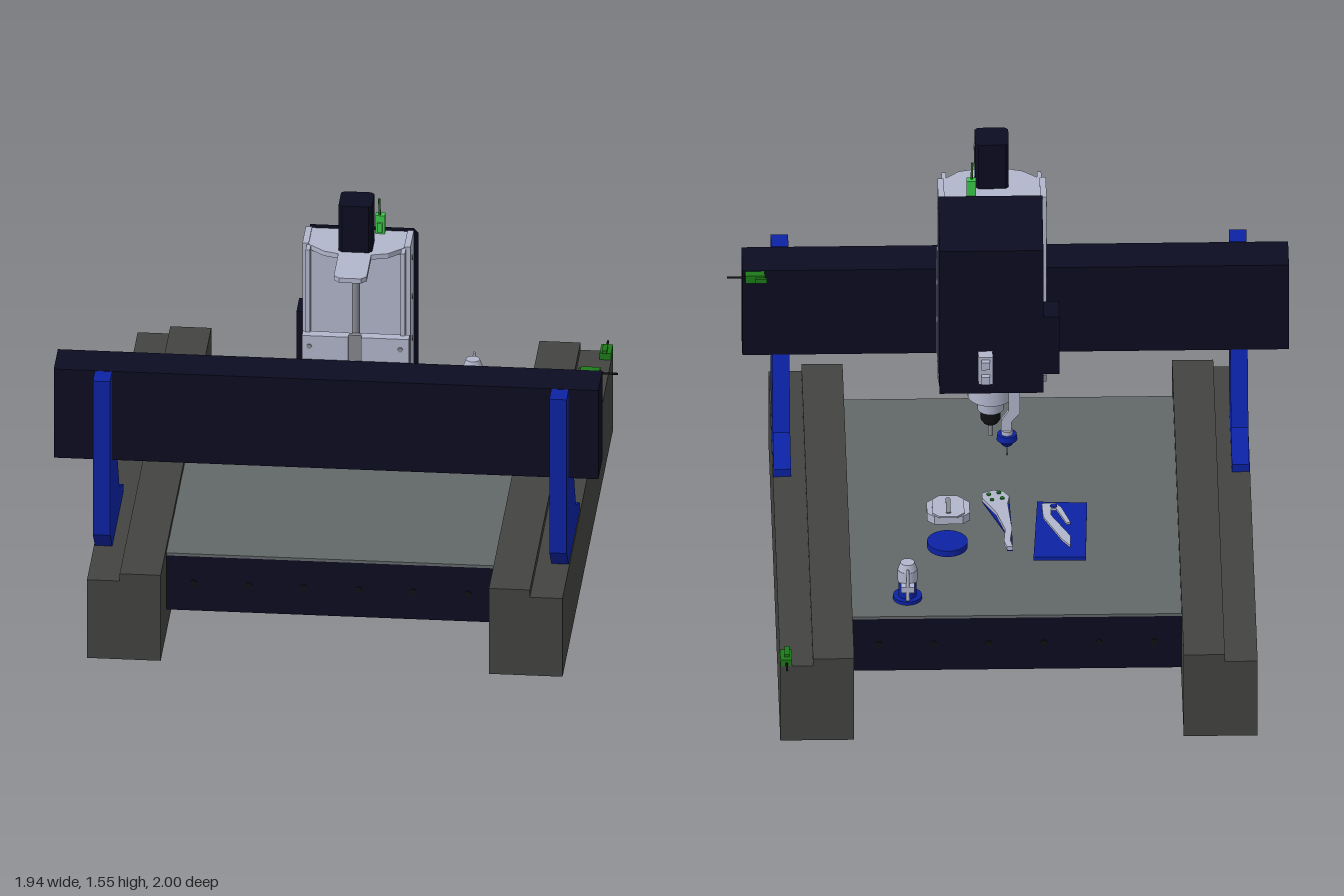
import * as THREE from 'three';

const mat = (name, color) => {
  const m = new THREE.MeshStandardMaterial({ color });
  m.name = name;
  return m;
};

export function createModel() {
  const root = new THREE.Group();
  root.name = 'gantryMill';
  const navy = mat('darkNavy', 0x0c0c22), blue = mat('blue', 0x0c22a4), rail = mat('railGrey', 0x434341);
  const bedGrey = mat('bedGrey', 0x626767), metal = mat('lightMetal', 0xb2b6cc), steel = mat('steelGrey', 0x858890);
  const green = mat('darkGreen', 0x1c7a18), bright = mat('brightGreen', 0x3cc84a), black = mat('black', 0x101014);

  const add = (name, geo, m, parent = root) => {
    const mesh = new THREE.Mesh(geo, m);
    mesh.name = name;
    parent.add(mesh);
    return mesh;
  };
  // Box from min/max limits
  const box = (name, m, x0, x1, y0, y1, z0, z1) =>
    add(name, new THREE.BoxGeometry(x1 - x0, y1 - y0, z1 - z0)
      .translate((x0 + x1) / 2, (y0 + y1) / 2, (z0 + z1) / 2), m);
  // Upright turned part
  const cyl = (name, m, x, z, y0, y1, rBottom, rTop = rBottom, sides = 28) =>
    add(name, new THREE.CylinderGeometry(rTop, rBottom, y1 - y0, sides).translate(x, (y0 + y1) / 2, z), m);
  const shapeOf = (pts) => new THREE.Shape(pts.map((p) => new THREE.Vector2(...p)));
  // Side profile of [z, y] points, extruded along x
  const side = (name, m, x0, x1, pts) =>
    add(name, new THREE.ExtrudeGeometry(shapeOf(pts), { depth: x1 - x0, bevelEnabled: false })
      .rotateY(-Math.PI / 2).translate(x1, 0, 0), m);
  // Plan outline of [x, z] points, extruded upwards
  const plan = (name, m, y0, y1, pts) =>
    add(name, new THREE.ExtrudeGeometry(shapeOf(pts.map(([x, z]) => [x, -z])), { depth: y1 - y0, bevelEnabled: false })
      .rotateX(-Math.PI / 2).translate(0, y0, 0), m);
  const tube = (name, m, pts, r) =>
    add(name, new THREE.TubeGeometry(new THREE.CatmullRomCurve3(pts.map((p) => new THREE.Vector3(...p))), 12, r, 8), m);
  const roundedOutline = (cx, cz, w, d, c) => [
    [cx - w + c, cz - d], [cx + w - c, cz - d], [cx + w, cz - d + c], [cx + w, cz + d - c],
    [cx + w - c, cz + d], [cx - w + c, cz + d], [cx - w, cz + d - c], [cx - w, cz - d + c]];

  // Stepped side rails and gantry uprights
  const mid = -0.0075;
  const upright = [[0.73, 0.3], [0.81, 0.38], [0.81, 0.97], [0.73, 0.97], [0.73, 0.63], [0.575, 0.63],
    [0.45, 0.39], [0.305, 0.33], [0.305, 0.3]];
  for (const s of [-1, 1]) {
    const span = (a, b) => [mid + s * a, mid + s * b].sort((p, q) => p - q);
    box('railInner', rail, ...span(0.568, 0.71), 0, 0.328, -0.945, 1);
    box('railOuter', rail, ...span(0.71, 0.823), 0, 0.3, -0.945, 1);
    side('gantryUpright', blue, ...span(0.76, 0.82), upright);
  }

  // Bed: dark frame with a grey table on top
  box('bedFrame', navy, -0.575, 0.56, 0.095, 0.302, -0.645, 0.79);
  box('bedTable', bedGrey, -0.575, 0.56, 0.302, 0.312, -0.645, 0.79);
  for (let i = 0; i < 6; i++) {
    const x = -0.48 + i * 0.19;
    for (const z of [-0.646, 0.791])
      add('bedBolt', new THREE.CylinderGeometry(0.012, 0.012, 0.005, 14).rotateX(Math.PI / 2).translate(x, 0.2, z), black);
  }

  // Gantry beam
  box('gantryBeam', navy, -0.97, 0.915, 0.63, 0.97, 0.572, 0.728);

  // Carriage on the back of the beam, with bearing blocks
  for (const [x0, x1] of [[-0.125, 0.035], [0.08, 0.245]]) {
    box('carriagePlate', metal, x0, x1, 0.64, 1.06, 0.535, 0.572);
  }
  box('carriageBridge', steel, 0.035, 0.08, 0.64, 1.06, 0.537, 0.555);
  for (const x of [-0.09, 0.17]) {
    for (const y of [0.67, 0.87]) {
      box('bearingBlock', black, x, x + 0.06, y + 0.02, y + 0.13, 0.503, 0.535);
      for (const e of [0, 0.13]) box('bearingCap', bright, x, x + 0.06, y + e, y + e + 0.02, 0.503, 0.535);
    }
  }
  for (const x of [-0.1, 0.215])
    for (const y of [0.68, 0.76, 0.94, 1.02])
      add('carriageBolt', new THREE.CylinderGeometry(0.009, 0.009, 0.006, 12).rotateX(Math.PI / 2).translate(x, y, 0.573), steel);

  // Vertical slide: back box, side plates, front flanges
  box('slideBody', metal, -0.108, 0.222, 0.65, 1.37, 0.37, 0.5);
  const cheek = [[0.37, 0.66], [0.41, 0.61], [0.5, 0.61], [0.5, 1.38], [0.37, 1.38]];
  for (const [x0, x1] of [[-0.13, -0.108], [0.222, 0.244]]) {
    side('slideCheek', metal, x0, x1, cheek);
    const out = x0 < 0 ? x0 : x1;
    for (const y of [0.69, 0.85, 1.0, 1.16, 1.31])
      add('cheekBolt', new THREE.CylinderGeometry(0.01, 0.01, 0.005, 14).rotateZ(Math.PI / 2).translate(out, y, 0.435), steel);
  }
  for (const [x0, x1] of [[-0.115, -0.1], [0.214, 0.229]])
    box('slideFlange', metal, x0, x1, 0.61, 1.375, 0.5, 0.545);
  box('slideFoot', metal, -0.108, 0.222, 0.61, 0.65, 0.42, 0.535);
  cyl('leadScrew', steel, 0.057, 0.52, 0.64, 1.36, 0.014);

  // Motor plate with tongue, motor
  plan('motorPlate', metal, 1.358, 1.376, [[-0.108, 0.37], [0.222, 0.37], [0.222, 0.5], [0.17, 0.55], [0.114, 0.565],
    [0.114, 0.735], [0.095, 0.755], [0.02, 0.755], [0, 0.735], [0, 0.565], [-0.05, 0.55], [-0.108, 0.5]]);
  plan('motor', navy, 1.376, 1.552, roundedOutline(0.057, 0.492, 0.058, 0.058, 0.012));

  // Spindle cover with side box and rear bracket
  side('spindleCover', navy, -0.115, 0.243, [[0.18, 0.705], [0.367, 0.705], [0.367, 1.388], [0.18, 1.28]]);
  box('coverSideBox', navy, -0.17, -0.115, 0.78, 1.01, 0.18, 0.285);
  box('rearBracket', metal, 0.06, 0.11, 0.765, 0.875, 0.14, 0.18);
  for (const y of [0.775, 0.835]) box('bracketLug', metal, 0.07, 0.1, y, y + 0.03, 0.12, 0.14);

  // Spindle nose, collet and cutter
  cyl('spindleBody', metal, 0.065, 0.285, 0.635, 0.71, 0.08);
  cyl('spindleNose', metal, 0.065, 0.285, 0.58, 0.635, 0.045, 0.05);
  cyl('colletNut', black, 0.065, 0.285, 0.54, 0.58, 0.034);
  cyl('colletTip', black, 0.065, 0.285, 0.525, 0.54, 0.024, 0.034);
  cyl('cutter', steel, 0.065, 0.285, 0.472, 0.525, 0.008);

  // Touch probe on an angled arm
  add('probeArm', new THREE.ExtrudeGeometry(shapeOf([[-0.005, 0.53], [0.03, 0.53], [0.03, 0.58], [0.005, 0.62],
    [0.005, 0.71], [-0.035, 0.71], [-0.035, 0.61], [-0.005, 0.575]]), { depth: 0.016, bevelEnabled: false })
    .translate(0, 0, 0.2), metal);
  cyl('probeCap', metal, 0.01, 0.208, 0.525, 0.54, 0.02);
  cyl('probeFlange', blue, 0.01, 0.208, 0.503, 0.525, 0.036, 0.033);
  cyl('probeCone', blue, 0.01, 0.208, 0.48, 0.503, 0.016, 0.032);
  cyl('probeStylus', steel, 0.01, 0.208, 0.438, 0.48, 0.003, 0.005, 10);

  // Loose parts above the table: fixture plate with forked arm
  plan('fixturePlate', blue, 0.355, 0.369, [[-0.25, -0.36], [-0.07, -0.355], [-0.09, 0.01], [-0.262, 0]]);
  plan('forkedArm', metal, 0.369, 0.377, [[-0.198, -0.295], [-0.17, -0.25], [-0.108, -0.1], [-0.105, -0.015], [-0.15, -0.01],
    [-0.172, -0.04], [-0.202, -0.14], [-0.188, -0.145], [-0.155, -0.05], [-0.137, -0.05], [-0.135, -0.09], [-0.2, -0.23]]);
  cyl('forkPin', blue, -0.146, -0.033, 0.377, 0.38, 0.012);

  // Bent lever
  plan('bentLever', metal, 0.356, 0.37, [[0, -0.285], [0.02, -0.285], [0.03, -0.25], [0.024, -0.17], [0.052, -0.06],
    [0.1, 0.04], [0.098, 0.07], [0.06, 0.088], [0.025, 0.08], [0.005, 0.045], [0.012, 0], [0, -0.17], [0.008, -0.24]]);
  plan('leverBase', blue, 0.352, 0.356, [[0, -0.285], [0.02, -0.285], [0.024, -0.17], [0.1, 0.04], [0.098, 0.07],
    [0.06, 0.088], [0.025, 0.08], [0.005, 0.045], [0, -0.17]]);
  for (let i = 0; i < 4; i++) {
    const a = i * Math.PI / 2 + 0.5;
    cyl('leverScrew', green, 0.053 + 0.026 * Math.cos(a), 0.045 + 0.026 * Math.sin(a), 0.37, 0.374, 0.008, 0.008, 10);
  }

  // Rounded housing with a raised bar, and a disc
  plan('housing', metal, 0.355, 0.386, roundedOutline(0.218, -0.05, 0.074, 0.06, 0.025));
  plan('housingTop', metal, 0.386, 0.392, roundedOutline(0.218, -0.05, 0.055, 0.07, 0.025));
  plan('housingBar', steel, 0.392, 0.396, roundedOutline(0.218, -0.05, 0.008, 0.05, 0.004));
  cyl('disc', blue, 0.225, -0.256, 0.355, 0.378, 0.07, 0.07, 40);

  // Tool setter post
  cyl('setterBase', blue, 0.368, -0.522, 0.312, 0.325, 0.05);
  cyl('setterStem', blue, 0.368, -0.522, 0.325, 0.385, 0.031);
  cyl('setterBody', metal, 0.368, -0.522, 0.385, 0.43, 0.034);
  cyl('setterTop', metal, 0.368, -0.522, 0.43, 0.457, 0.033, 0.024);
  box('setterArm', metal, 0.36, 0.376, 0.355, 0.368, -0.575, -0.55);
  cyl('setterPin', metal, 0.368, -0.575, 0.335, 0.457, 0.007, 0.005, 12);
  box('setterTab', metal, 0.345, 0.391, 0.368, 0.39, -0.582, -0.552);

  // Limit switches with leads
  box('railSwitch', green, 0.775, 0.815, 0.3, 0.325, -0.945, -0.875);
  box('railSwitchLever', green, 0.783, 0.8, 0.325, 0.336, -0.925, -0.87);
  tube('railSwitchLead', black, [[0.793, 0.312, -0.94], [0.793, 0.311, -1]], 0.004);
  box('beamSwitch', green, 0.838, 0.905, 0.938, 0.968, 0.54, 0.572);
  box('beamSwitchLever', green, 0.83, 0.87, 0.945, 0.96, 0.53, 0.54);
  tube('beamSwitchLead', black, [[0.9, 0.953, 0.557], [0.968, 0.953, 0.557]], 0.004);
  box('slideSwitch', bright, 0.113, 0.146, 1.376, 1.445, 0.37, 0.397);
  box('slideSwitchLever', bright, 0.12, 0.138, 1.385, 1.42, 0.397, 0.408);
  tube('slideSwitchLead', green, [[0.128, 1.44, 0.388], [0.126, 1.51, 0.392]], 0.004);

  return root;
}
